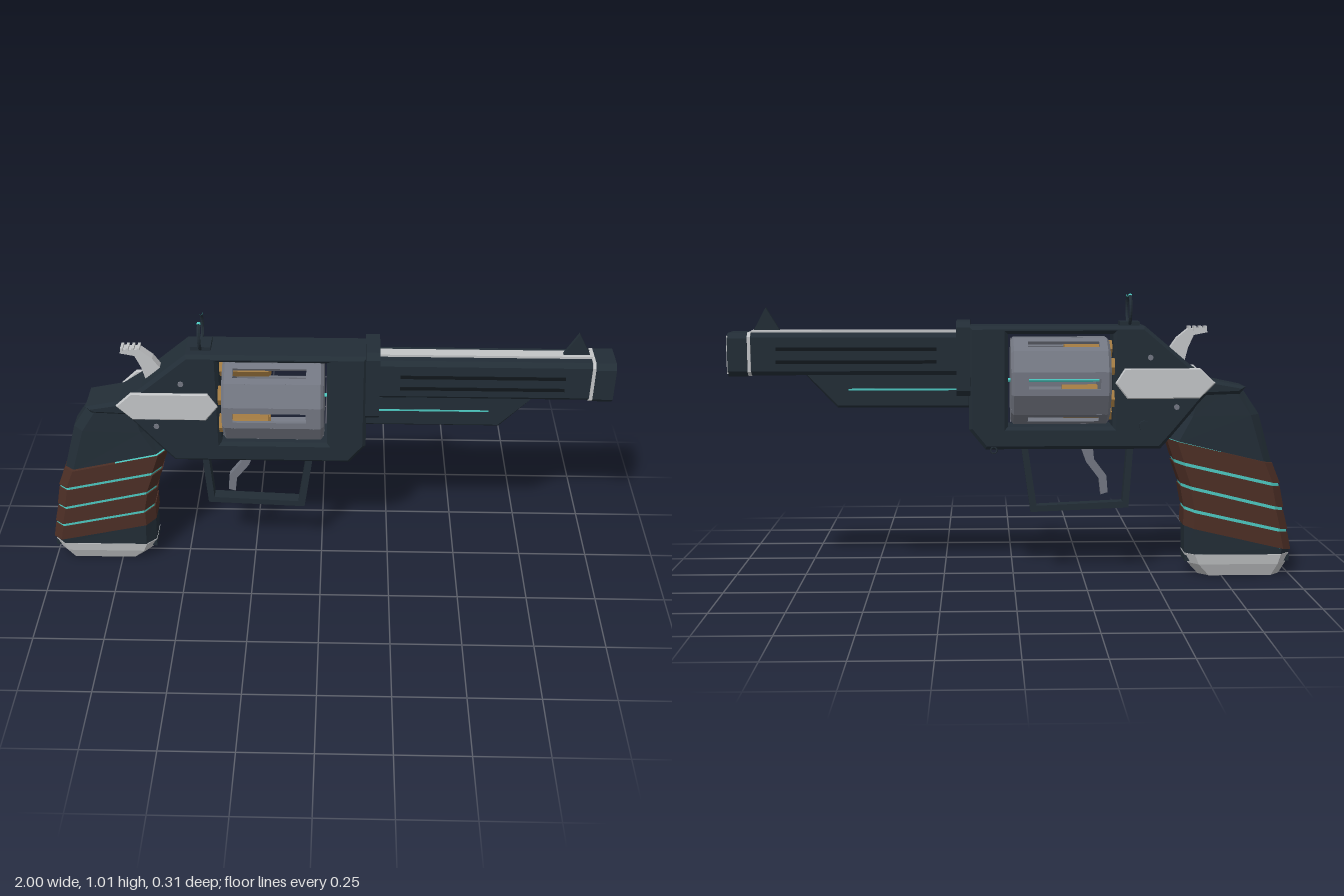
import * as THREE from 'three';

const mat = (name, color) => {
  const m = new THREE.MeshStandardMaterial({ color });
  m.name = name;
  return m;
};

export function createModel() {
  const steel = mat('dark steel', 0x222d36);
  const black = mat('black groove', 0x10161b);
  const grey = mat('grey metal', 0x727681);
  const silver = mat('light metal', 0xc2c4c6);
  const wood = mat('brown grip', 0x4c2e25);
  const brass = mat('brass', 0xa47c42);
  const teal = mat('teal accent', 0x4cc8c0);
  const model = new THREE.Group();

  // Adds a faceted mesh
  const add = (name, geo, material, parent = model) => {
    const g = geo.index ? geo.toNonIndexed() : geo;
    g.computeVertexNormals();
    const mesh = new THREE.Mesh(g, material);
    mesh.name = name;
    parent.add(mesh);
    return mesh;
  };
  const shapeOf = (pts) => new THREE.Shape(pts.map(([x, y]) => new THREE.Vector2(x, y)));
  // Side outline extruded across z from -w to w, with optional edge bevel
  const prism = (pts, w, bevel = 0, hole = null) => {
    const s = shapeOf(pts);
    if (hole) s.holes.push(shapeOf(hole));
    const g = new THREE.ExtrudeGeometry(s, {
      depth: 2 * (w - bevel), bevelEnabled: bevel > 0, bevelSegments: 1,
      bevelThickness: bevel, bevelSize: bevel, bevelOffset: -bevel,
    });
    return g.translate(0, 0, bevel - w);
  };
  const box = (x0, x1, y0, y1, z0, z1) => new THREE.BoxGeometry(x1 - x0, y1 - y0, z1 - z0)
    .translate((x0 + x1) / 2, (y0 + y1) / 2, (z0 + z1) / 2);
  // Bar along x with chamfered corners
  const bar = (x0, x1, y0, y1, w, c) => new THREE.ExtrudeGeometry(shapeOf([
    [-w + c, y0], [w - c, y0], [w, y0 + c], [w, y1 - c],
    [w - c, y1], [-w + c, y1], [-w, y1 - c], [-w, y0 + c],
  ]), { depth: x1 - x0, bevelEnabled: false }).rotateY(Math.PI / 2).translate(x0, 0, 0);
  const rod = (r, x0, x1, y, z, sides, turn = 0) => new THREE.CylinderGeometry(r, r, x1 - x0, sides)
    .rotateY(turn).rotateZ(Math.PI / 2).translate((x0 + x1) / 2, y, z);
  // Solid through chamfered rings [backX, backY, frontX, frontY, halfWidth], listed upwards
  const loft = (rings, c = 0.035) => {
    const pos = [], idx = [];
    for (const [bx, by, fx, fy, w] of rings) {
      const k = c / Math.hypot(fx - bx, fy - by);
      for (const [t, z] of [[k, w], [1 - k, w], [1, w - c], [1, c - w], [1 - k, -w], [k, -w], [0, c - w], [0, w - c]])
        pos.push(bx + (fx - bx) * t, by + (fy - by) * t, z);
    }
    const last = (rings.length - 1) * 8;
    for (let r = 0; r < last; r += 8)
      for (let i = 0; i < 8; i++) {
        const j = (i + 1) % 8;
        idx.push(r + i, r + j, r + 8 + j, r + i, r + 8 + j, r + 8 + i);
      }
    for (let i = 1; i < 7; i++) idx.push(0, i + 1, i, last, last + i, last + i + 1);
    const g = new THREE.BufferGeometry();
    g.setAttribute('position', new THREE.Float32BufferAttribute(pos, 3));
    g.setIndex(idx);
    return g;
  };

  // Frame with a see-through window
  add('frame', prism([
    [-0.52, 0.465], [0.1, 0.465], [0.157, 0.535], [0.157, 0.9], [-0.46, 0.9],
    [-0.62, 0.765], [-0.7, 0.71], [-0.82, 0.685], [-0.8, 0.66], [-0.68, 0.655], [-0.56, 0.51],
  ], 0.073, 0.012, [[-0.35, 0.545], [0.02, 0.545], [0.02, 0.872], [-0.35, 0.872]]), steel);
  add('collar', bar(0.152, 0.2, 0.655, 0.917, 0.083, 0.02), steel);

  // Barrel, under-lug and muzzle
  add('barrel', bar(0.19, 0.925, 0.728, 0.876, 0.06, 0.015), steel);
  add('underLug', prism([[0.15, 0.612], [0.62, 0.612], [0.735, 0.735], [0.15, 0.735]], 0.046, 0.008), steel);
  add('topRib', box(0.2, 0.92, 0.87, 0.884, -0.02, 0.02), silver);
  add('muzzleRing', bar(0.917, 0.928, 0.726, 0.879, 0.065, 0.015), silver);
  add('muzzle', bar(0.928, 0.997, 0.725, 0.877, 0.067, 0.018), steel);
  add('bore', rod(0.025, 0.99, 1.0, 0.8, 0, 8, Math.PI / 8), silver);
  add('muzzlePlate', box(0.995, 1.0, 0.735, 0.867, -0.064, -0.036), silver);
  add('frontSight', prism([[0.82, 0.88], [0.915, 0.88], [0.87, 0.963]], 0.007), steel);
  for (const s of [1, -1]) {
    for (const y of [0.82, 0.775])
      add('barrelGroove', box(0.27, 0.83, y - 0.006, y + 0.006, s * 0.061 - 0.002, s * 0.061 + 0.002), black);
    add('lugLine', box(0.2, 0.58, 0.674, 0.68, s * 0.046 - 0.002, s * 0.046 + 0.002), teal);
  }

  // Drum: two drilled end caps joined by twelve wall plates, alternate plates slotted
  const drum = new THREE.Group();
  drum.name = 'drum';
  drum.position.y = 0.705;
  model.add(drum);
  const ngon = (n, r, cx = 0, cy = 0, turn = 0) => Array.from({ length: n }, (_, i) => {
    const a = turn + i * 2 * Math.PI / n;
    return [cx + r * Math.cos(a), cy + r * Math.sin(a)];
  });
  const chambers = ngon(6, 0.112, 0, 0, Math.PI / 6);
  for (const x of [-0.338, -0.02]) {
    const s = shapeOf(ngon(12, 0.158, 0, 0, Math.PI / 12));
    for (const [cx, cy] of chambers) s.holes.push(shapeOf(ngon(6, 0.03, cx, cy)));
    add('drumCap', new THREE.ExtrudeGeometry(s, {
      depth: 0.01, bevelSegments: 1, bevelThickness: 0.01, bevelSize: 0.012, bevelOffset: -0.012,
    }).rotateY(Math.PI / 2).translate(x + 0.01, 0, 0), grey, drum);
  }
  const rect = (x0, x1, h) => [[x0, -h], [x1, -h], [x1, h], [x0, h]];
  for (let i = 0; i < 12; i++) {
    const hole = i % 2 ? null : rect(-0.3, -0.05, 0.018);
    add('drumWall', prism(rect(-0.328, 0, 0.041), 0.006, 0, hole)
      .translate(0, 0, 0.1466).rotateX(i * Math.PI / 6), grey, drum);
  }
  for (const [z, y] of chambers) add('cartridge', rod(0.033, -0.35, -0.18, y, z, 6), brass, drum);
  add('drumAxis', rod(0.007, -0.36, 0.03, 0, 0, 8), teal, drum);

  // Side plates and screws on both sides
  for (const s of [1, -1]) {
    add('sidePlate', prism([
      [-0.71, 0.7], [-0.655, 0.645], [-0.4, 0.645], [-0.357, 0.7], [-0.39, 0.752], [-0.655, 0.752],
    ], 0.007, 0.004).translate(0, 0, s * 0.075), silver);
    for (const [x, y] of [[-0.48, 0.79], [-0.575, 0.615]])
      add('screw', new THREE.CylinderGeometry(0.01, 0.01, 0.008, 8).rotateX(Math.PI / 2).translate(x, y, s * 0.074), grey);
  }
  add('sideButton', new THREE.CylinderGeometry(0.018, 0.018, 0.02, 10).rotateX(Math.PI / 2).translate(-0.46, 0.55, -0.077), steel);
  add('lanyardRing', new THREE.TorusGeometry(0.011, 0.003, 5, 12).translate(0.07, 0.463, -0.07), steel);

  // Hammer with a ridged spur
  add('hammer', prism([
    [-0.69, 0.875], [-0.64, 0.865], [-0.62, 0.82], [-0.6, 0.74], [-0.53, 0.74],
    [-0.55, 0.81], [-0.58, 0.855], [-0.62, 0.888], [-0.68, 0.89],
  ], 0.017), silver);
  for (let i = 0; i < 4; i++)
    add('hammerRidge', box(-0.686 + i * 0.019, -0.677 + i * 0.019, 0.88, 0.897, -0.02, 0.02), silver);

  // Rear ring sight, open at the top with bright tips
  const arc = (from, sweep, tube) => new THREE.TorusGeometry(0.06, tube, 6, 28, sweep)
    .rotateZ(from).rotateY(Math.PI / 2).translate(-0.41, 0.957, 0);
  const start = Math.PI * 0.69, sweep = Math.PI * 1.62;
  add('rearSight', arc(start, sweep, 0.006), steel);
  add('rearSightTip', arc(start - 0.02, 0.12, 0.0065), teal);
  add('rearSightTip', arc(start + sweep - 0.1, 0.12, 0.0065), teal);
  add('rearSightBase', box(-0.445, -0.375, 0.895, 0.914, -0.035, 0.035), steel);

  // Trigger and guard
  add('trigger', prism([
    [-0.285, 0.47], [-0.29, 0.42], [-0.335, 0.36], [-0.34, 0.3], [-0.315, 0.292],
    [-0.308, 0.35], [-0.262, 0.41], [-0.24, 0.47],
  ], 0.014), grey);
  add('triggerGuard', prism([
    [-0.43, 0.47], [-0.415, 0.245], [-0.062, 0.23], [-0.028, 0.47],
  ], 0.022, 0, [[-0.407, 0.48 - 0.015], [-0.393, 0.267], [-0.084, 0.253], [-0.052, 0.465]]), steel);

  // Grip: dark core, bright liner and four wooden bands
  const lines = [
    [-1.0, 0.095, -0.61, 0.185], [-0.987, 0.163, -0.61, 0.249], [-0.97, 0.243, -0.596, 0.334],
    [-0.955, 0.33, -0.57, 0.42], [-0.925, 0.41, -0.545, 0.5],
  ];
  add('gripUpper', loft([
    [-0.925, 0.405, -0.55, 0.495, 0.07], [-0.875, 0.585, -0.6, 0.58, 0.066], [-0.81, 0.682, -0.63, 0.7, 0.06],
  ]), steel);
  add('gripLower', loft([[-0.993, 0.078, -0.617, 0.078, 0.074], [-0.997, 0.1, -0.613, 0.19, 0.076]]), steel);
  add('gripLiner', loft(lines.map(([a, b, c, d]) => [a + 0.004, b, c - 0.004, d, 0.079])), teal);
  for (let i = 0; i < 4; i++) {
    const a = lines[i], b = lines[i + 1];
    const lo = i ? 0.006 : 0, hi = i < 3 ? 0.006 : 0;
    add('gripBand', loft([
      [a[0], a[1] + lo, a[2], a[3] + lo, 0.082], [b[0], b[1] - hi, b[2], b[3] - hi, 0.082],
    ]), wood);
  }
  add('gripCap', loft([
    [-0.965, 0, -0.67, 0, 0.052], [-0.985, 0.045, -0.63, 0.045, 0.07], [-0.995, 0.082, -0.615, 0.082, 0.076],
  ]), silver);
  add('gripCapFront', box(-0.64, -0.617, 0.052, 0.074, -0.045, 0.045), steel);
  add('gripCapBack', box(-0.996, -0.97, 0.052, 0.074, -0.045, 0.045), steel);

  return model;
}
